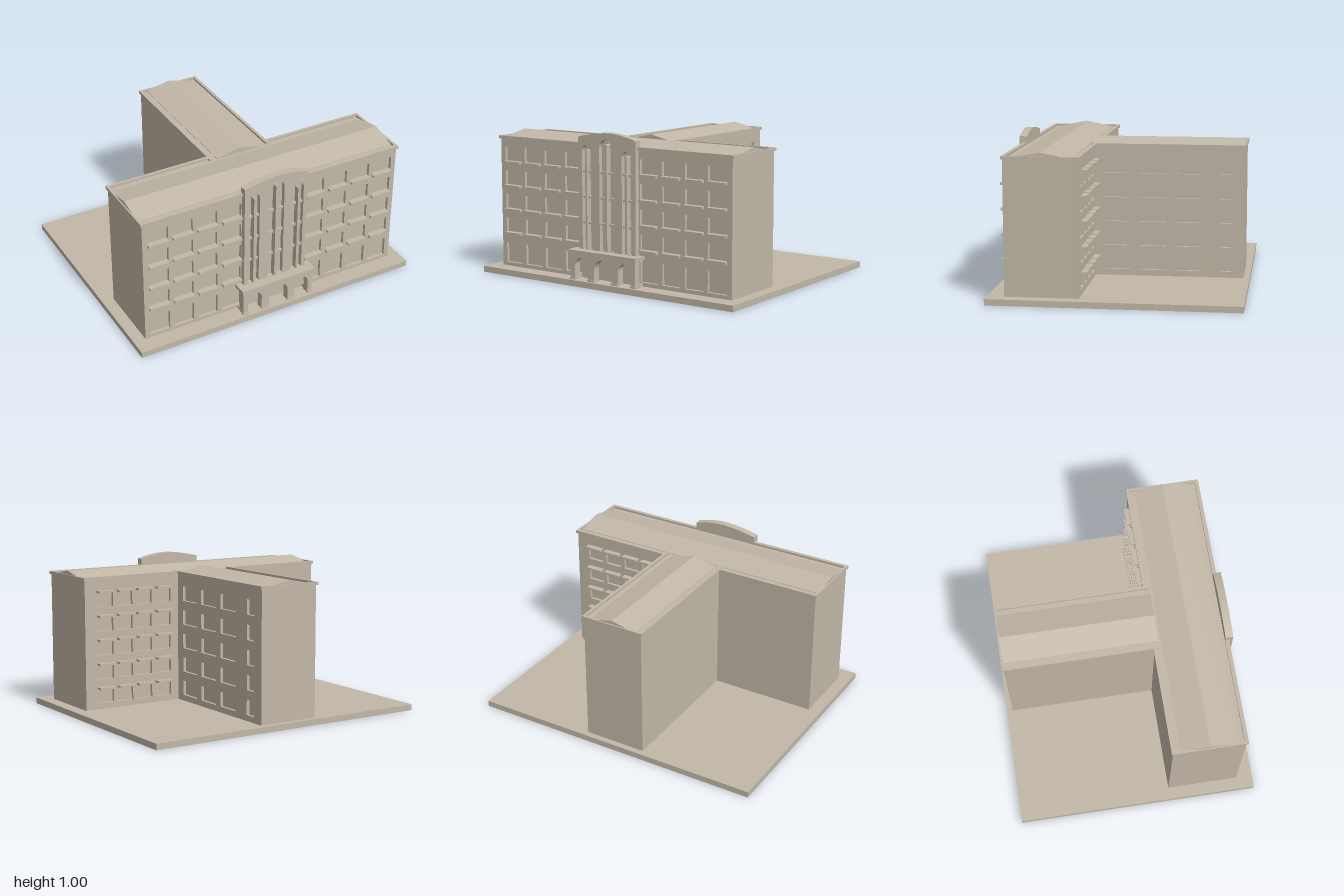
import * as THREE from 'three';

const stone = new THREE.MeshStandardMaterial({ color: 0xc2b8a8 });
stone.name = 'stone';

export function createModel() {
  const model = new THREE.Group();
  model.name = 'building';

  const add = (name, geometry, parent = model) => {
    const mesh = new THREE.Mesh(geometry, stone);
    mesh.name = name;
    parent.add(mesh);
    return mesh;
  };
  // box given by its extents
  const box = (name, x0, x1, y0, y1, z0, z1, parent) => {
    const g = new THREE.BoxGeometry(x1 - x0, y1 - y0, z1 - z0);
    g.translate((x0 + x1) / 2, (y0 + y1) / 2, (z0 + z1) / 2);
    return add(name, g, parent);
  };
  const poly = (pts) => new THREE.Shape(pts.map(([x, y]) => new THREE.Vector2(x, y)));
  const rect = (x0, x1, y0, y1) => poly([[x0, y0], [x1, y0], [x1, y1], [x0, y1]]);
  // round-headed opening
  const arch = (x0, x1, y0, top) => {
    const r = (x1 - x0) / 2;
    const s = new THREE.Shape();
    s.moveTo(x0, y0);
    s.lineTo(x1, y0);
    s.lineTo(x1, top - r);
    s.absarc((x0 + x1) / 2, top - r, r, 0, Math.PI, false);
    s.closePath();
    return s;
  };
  const extrude = (shape, z0, z1, holes = []) => {
    shape.holes.push(...holes);
    const g = new THREE.ExtrudeGeometry(shape, { depth: z1 - z0, bevelEnabled: false, curveSegments: 12 });
    return g.translate(0, 0, z0);
  };

  // ground slab
  box('groundSlab', -1, 1, 0, 0.04, -0.8, 0.8);

  // main block: core with pierced front and rear walls
  const wallTop = 0.905;
  box('mainCore', -0.92, 0.92, 0.04, wallTop, 0.24, 0.67);
  const frontColumns = [[0.235, 0.37], [0.405, 0.543], [0.575, 0.715], [0.745, 0.885]];
  const frontRows = [[0.065, 0.2], [0.26, 0.37], [0.42, 0.53], [0.58, 0.69], [0.74, 0.845]];
  const frontHoles = [];
  const sills = new THREE.Group();
  sills.name = 'windowSills';
  model.add(sills);
  for (const side of [-1, 1]) for (const [a, b] of frontColumns) {
    const [x0, x1] = side > 0 ? [a, b] : [-b, -a];
    frontRows.forEach(([y0, y1], i) => {
      frontHoles.push(rect(x0, x1, y0, y1));
      if (i) box('sill', x0, x1, y0 - 0.003, y0 + 0.012, 0.67, 0.712, sills);
    });
  }
  add('frontWall', extrude(rect(-0.92, 0.92, 0.04, wallTop), 0.67, 0.69, frontHoles));

  // rear wall: shaded windows on the left half only
  const rearHoles = [];
  const canopies = new THREE.Group();
  canopies.name = 'windowCanopies';
  model.add(canopies);
  for (const x0 of [0.27, 0.418, 0.566, 0.712]) for (let i = 0; i < 5; i++) {
    const top = 0.175 + i * 0.16;
    rearHoles.push(rect(x0, x0 + 0.12, top - 0.095, top));
    box('canopy', x0, x0 + 0.12, top, top + 0.014, 0.18, 0.23, canopies);
  }
  add('rearWall', extrude(rect(-0.92, 0.92, 0.04, wallTop), 0.22, 0.24, rearHoles));

  // rear wing with windows on its left wall
  box('wingCore', -0.21, 0.19, 0.04, wallTop, -0.76, 0.25);
  const wingHoles = [];
  for (const [z0, z1] of [[-0.015, 0.155], [-0.245, -0.07], [-0.475, -0.3], [-0.68, -0.6]]) {
    for (let i = 0; i < 5; i++) {
      const y = 0.08 + i * 0.161;
      wingHoles.push(rect(-z1, -z0, y, y + 0.098));
    }
  }
  const wingWall = extrude(rect(-0.23, 0.76, 0.04, wallTop), 0.19, 0.21, wingHoles);
  add('wingWall', wingWall.rotateY(Math.PI / 2));

  // low pitched roofs
  const gable = (half) => poly([[-half, 0.9], [half, 0.9], [half, 0.908], [0, 0.945], [-half, 0.908]]);
  const mainRoof = extrude(gable(0.185), -0.92, 0.92);
  add('mainRoof', mainRoof.rotateY(Math.PI / 2).translate(0, 0, 0.455));
  add('wingRoof', extrude(gable(0.165), -0.76, 0.25));

  // cornices form a low parapet around both roofs
  const cornice = new THREE.Group();
  cornice.name = 'cornice';
  model.add(cornice);
  const rail = (x0, x1, z0, z1) => box('corniceRail', x0, x1, 0.9, 0.92, z0, z1, cornice);
  rail(-0.93, 0.93, 0.675, 0.7);
  for (const s of [-1, 1]) {
    const span = (a, b) => (s > 0 ? [a, b] : [-b, -a]);
    rail(...span(0.912, 0.93), 0.21, 0.7);
    rail(...span(0.2, 0.93), 0.21, 0.23);
    rail(...span(0.2, 0.22), -0.77, 0.25);
  }
  rail(-0.22, 0.22, -0.77, -0.755);

  // entrance tower with a curved crown and three tall arched bays
  const towerShape = () => {
    const s = new THREE.Shape();
    s.moveTo(-0.23, 0.04);
    s.lineTo(0.225, 0.04);
    s.lineTo(0.225, 0.96);
    s.quadraticCurveTo(0.11, 0.995, 0, 0.995);
    s.quadraticCurveTo(-0.11, 0.99, -0.23, 0.96);
    s.closePath();
    return s;
  };
  add('towerBack', extrude(towerShape(), 0.675, 0.695));
  const bays = [[-0.2, -0.122, 0.91, 0.007], [-0.06, 0.055, 0.955, 0.009], [0.118, 0.197, 0.89, 0.007]];
  const bayHoles = bays.map(([x0, x1, top]) => arch(x0, x1, 0.237, top));
  const towerFace = poly([[-0.23, 0.215], [0.225, 0.215]]);
  towerFace.lineTo(0.225, 0.96);
  towerFace.quadraticCurveTo(0.11, 0.995, 0, 0.995);
  towerFace.quadraticCurveTo(-0.11, 0.99, -0.23, 0.96);
  add('towerFace', extrude(towerFace, 0.695, 0.725, bayHoles));
  for (const [x0, x1, top, half] of bays) {
    const c = (x0 + x1) / 2;
    add('mullion', extrude(arch(c - half, c + half, 0.237, top - 0.028), 0.695, 0.734));
    for (const y of [0.4, 0.567, 0.73]) box('spandrel', x0, x1, y, y + 0.015, 0.695, 0.715);
  }

  // arcaded entrance porch
  const porch = new THREE.Group();
  porch.name = 'porch';
  model.add(porch);
  const front = poly([
    [-0.26, 0.04], [-0.225, 0.04], [-0.225, 0.135]]);
  // outline runs up and over each open arch
  front.absarc(-0.175, 0.135, 0.05, Math.PI, 0, true);
  front.lineTo(-0.125, 0.04);
  front.lineTo(-0.07, 0.04);
  front.lineTo(-0.07, 0.12);
  front.absarc(0, 0.12, 0.07, Math.PI, 0, true);
  front.lineTo(0.07, 0.04);
  front.lineTo(0.122, 0.04);
  front.lineTo(0.122, 0.135);
  front.absarc(0.172, 0.135, 0.05, Math.PI, 0, true);
  front.lineTo(0.222, 0.04);
  front.lineTo(0.255, 0.04);
  front.lineTo(0.255, 0.215);
  front.lineTo(-0.26, 0.215);
  add('porchArcade', extrude(front, 0.725, 0.775), porch);
  for (const s of [-1, 1]) {
    const span = (a, b) => (s > 0 ? [a, b] : [-b, -a]);
    box('porchLintel', ...span(0.23, 0.256), 0.2, 0.215, 0.69, 0.73, porch);
    box('porchSill', ...span(0.23, 0.256), 0.04, 0.06, 0.69, 0.73, porch);
    for (const [a, b] of [[0.068, 0.124], [0.222, 0.262]]) {
      box('pillarFoot', ...span(a, b), 0.04, 0.052, 0.724, 0.782, porch);
    }
  }
  box('porchRoof', -0.273, 0.268, 0.213, 0.235, 0.69, 0.79, porch);

  return model;
}
